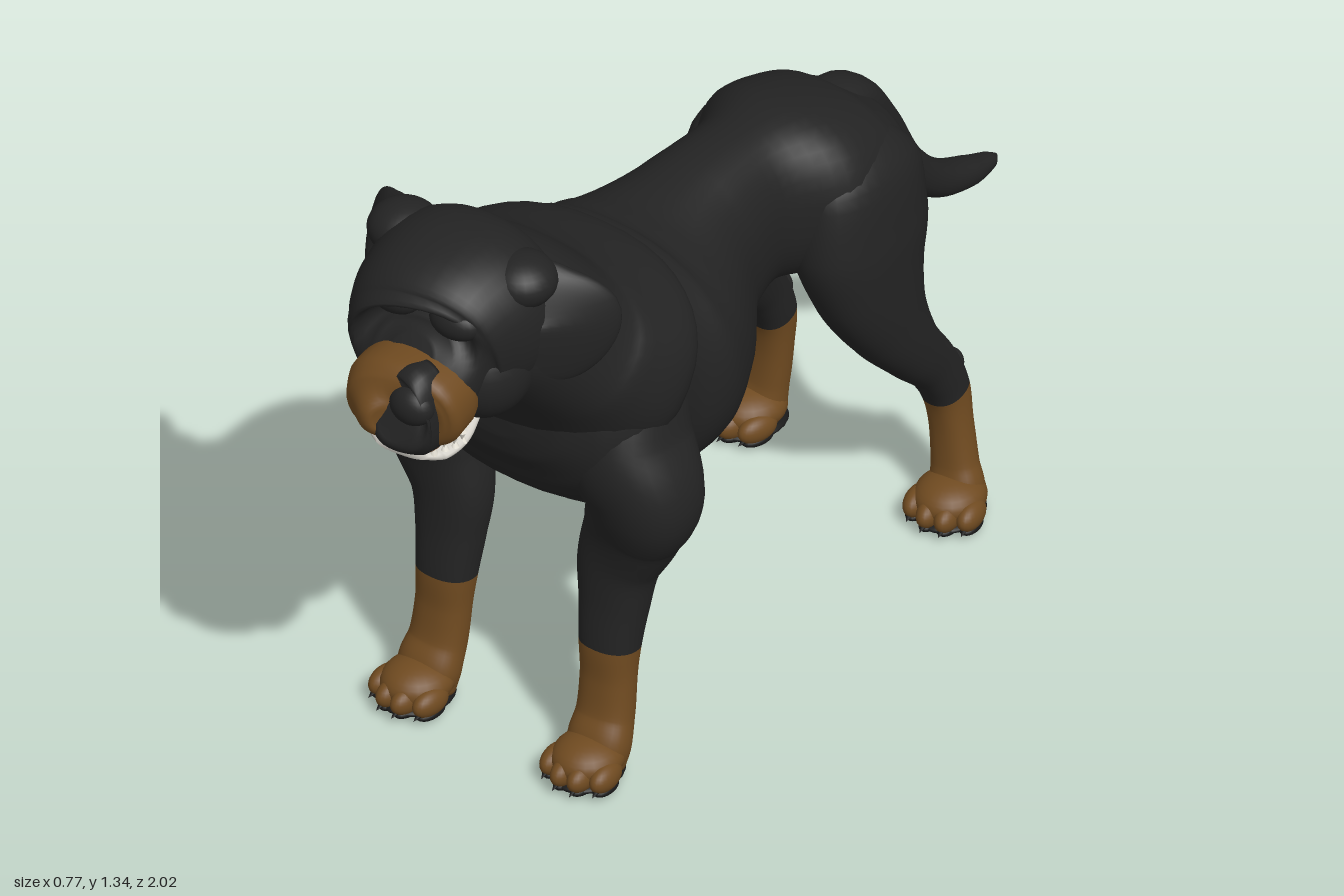
import * as THREE from 'three';

const mat = (name, color) => Object.assign(new THREE.MeshStandardMaterial({ color }), { name });

// Smooth closed skin over cross-sections [x, y, z, halfWidth, halfDepth].
// With `split`, a second material starts at that section.
function loft(sections, { split = 0, sides = 32, steps = 6 } = {}) {
  const path = new THREE.CatmullRomCurve3(sections.map(s => new THREE.Vector3(s[0], s[1], s[2])));
  const radii = new THREE.CatmullRomCurve3(sections.map(s => new THREE.Vector3(s[3], s[4], 0)));
  const rows = (sections.length - 1) * steps, pos = [], idx = [];
  const round = v => Math.sign(v) * Math.abs(v) ** 0.88;
  for (let i = -1; i <= rows + 1; i++) {
    const u = THREE.MathUtils.clamp(i / rows, 0, 1), open = i < 0 || i > rows ? 0 : 1;
    const c = path.getPoint(u), r = radii.getPoint(u), t = path.getTangent(u);
    const side = new THREE.Vector3(1, 0, 0).addScaledVector(t, -t.x).normalize();
    const up = t.clone().cross(side);
    for (let j = 0; j < sides; j++) {
      const a = j / sides * Math.PI * 2;
      const p = c.clone().addScaledVector(side, round(Math.cos(a)) * Math.max(r.x, 0) * open)
        .addScaledVector(up, round(Math.sin(a)) * Math.max(r.y, 0) * open);
      pos.push(p.x, p.y, p.z);
    }
  }
  for (let i = 0; i < rows + 2; i++) for (let j = 0; j < sides; j++) {
    const a = i * sides + j, b = i * sides + (j + 1) % sides;
    idx.push(a, b, a + sides, b, b + sides, a + sides);
  }
  const g = new THREE.BufferGeometry();
  g.setAttribute('position', new THREE.Float32BufferAttribute(pos, 3));
  g.setIndex(idx);
  g.computeVertexNormals();
  if (split) {
    const cut = (split * steps + 1) * sides * 6;
    g.addGroup(0, cut, 0);
    g.addGroup(cut, idx.length - cut, 1);
  }
  return g;
}

// Sections along z given as [z, centreX, bottom, top, halfWidth]
const alongZ = list => list.map(([z, x, b, t, w]) => [x, (b + t) / 2, z, w, (t - b) / 2]);

export function createModel() {
  const dog = new THREE.Group();
  dog.name = 'dog';
  const black = mat('black coat', 0x232323), tan = mat('tan markings', 0x6f4a20);
  const dark = mat('dark pads', 0x191919), white = mat('teeth', 0xeeeade);
  const jawGrey = mat('pale jaw', 0xcdcac2), tongueCol = mat('tongue', 0x8d5a34);

  const add = (name, geo, material, parent = dog) => {
    const m = new THREE.Mesh(geo, material);
    m.name = name;
    parent.add(m);
    return m;
  };
  const ball = (name, material, p, r, parent = dog) => {
    const m = add(name, new THREE.SphereGeometry(1, 24, 16), material, parent);
    m.position.set(...p);
    m.scale.set(...r);
    return m;
  };

  // Trunk, neck and tail
  add('torso', loft(alongZ([
    [-0.56, 0.03, 0.82, 0.92, 0.06], [-0.53, 0.03, 0.76, 0.98, 0.15], [-0.45, 0.03, 0.71, 1.03, 0.2],
    [-0.32, 0.025, 0.70, 1.07, 0.21], [-0.18, 0.015, 0.70, 1.075, 0.137], [-0.05, 0.01, 0.665, 1.07, 0.158],
    [0.1, 0.01, 0.585, 1.06, 0.255], [0.2, 0.01, 0.535, 1.075, 0.295], [0.3, 0.01, 0.52, 1.1, 0.285],
    [0.42, 0.01, 0.545, 1.11, 0.305], [0.51, 0.01, 0.605, 1.05, 0.29], [0.57, 0.01, 0.675, 0.985, 0.24],
    [0.605, 0.01, 0.74, 0.92, 0.16], [0.617, 0.01, 0.79, 0.87, 0.07],
  ]), { sides: 40 }), black);
  add('neck', loft([
    [0.01, 0.83, 0.27, 0.22, 0.2], [0.01, 0.91, 0.4, 0.322, 0.235], [0.02, 1.015, 0.53, 0.285, 0.18],
    [0.03, 1.105, 0.62, 0.215, 0.168], [0.01, 1.16, 0.7, 0.17, 0.16],
  ], { sides: 40 }), black);
  add('tail', loft([
    [0.03, 0.98, -0.42, 0.06, 0.045], [0.03, 0.955, -0.52, 0.064, 0.052], [0.03, 0.85, -0.6, 0.057, 0.054],
    [0.033, 0.7, -0.69, 0.052, 0.047], [0.035, 0.6, -0.8, 0.046, 0.038], [0.035, 0.554, -0.91, 0.036, 0.028],
    [0.035, 0.54, -0.98, 0.02, 0.015], [0.035, 0.538, -1.0, 0.006, 0.006],
  ], { sides: 20 }), black);
  ball('bellySheath', black, [0.01, 0.675, -0.115], [0.033, 0.035, 0.045]);

  // Head, muzzle and nose
  add('head', loft(alongZ([
    [0.52, 0.01, 1.09, 1.22, 0.1], [0.6, 0.01, 1.0, 1.305, 0.17], [0.7, 0.01, 0.975, 1.345, 0.205],
    [0.78, 0.012, 0.965, 1.33, 0.19], [0.84, 0.02, 0.97, 1.285, 0.165], [0.87, 0.028, 0.99, 1.25, 0.135],
    [0.89, 0.03, 1.04, 1.22, 0.095], [0.903, 0.03, 1.09, 1.19, 0.05],
  ]), { sides: 40 }), black);
  add('muzzle', loft(alongZ([
    [0.8, 0.03, 0.98, 1.15, 0.1], [0.865, 0.033, 0.962, 1.16, 0.128], [0.92, 0.036, 0.95, 1.158, 0.13],
    [0.955, 0.04, 0.96, 1.135, 0.112], [0.972, 0.045, 0.99, 1.1, 0.075], [0.977, 0.05, 1.02, 1.07, 0.04],
  ])), tan);
  add('muzzleFront', loft(alongZ([
    [0.88, 0.085, 0.97, 1.162, 0.045], [0.92, 0.075, 0.947, 1.163, 0.06], [0.955, 0.062, 0.952, 1.139, 0.072],
    [0.977, 0.062, 0.975, 1.115, 0.062], [0.986, 0.065, 1.01, 1.085, 0.035],
  ])), black);
  ball('nose', black, [0.082, 1.085, 0.962], [0.05, 0.043, 0.037]);
  for (const s of [-1, 1]) {
    ball('brow', black, [0.02 + s * 0.075, 1.225, 0.835], [0.06, 0.04, 0.042]);
    ball('cheek', black, [0.015 + s * 0.095, 1.075, 0.75], [0.09, 0.11, 0.11]);
    ball('earBase', black, [s * 0.145, 1.265, 0.69], [0.075, 0.055, 0.075]);
  }

  // Open mouth: lower jaw, tongue and two rows of teeth
  add('lowerJaw', loft(alongZ([
    [0.76, 0.02, 0.95, 0.985, 0.085], [0.83, 0.02, 0.915, 0.955, 0.1], [0.89, 0.02, 0.905, 0.94, 0.09],
    [0.925, 0.025, 0.917, 0.94, 0.055],
  ])), jawGrey);
  ball('tongue', tongueCol, [0.045, 0.946, 0.888], [0.048, 0.02, 0.05]);
  for (let i = 0; i <= 12; i++) {
    const a = Math.PI * i / 12, x = 0.02 + Math.cos(a) * 0.092, z = 0.835 + Math.sin(a) * 0.085;
    const fang = i === 3 || i === 9 ? 0.035 : 0.018;
    add('lowerTooth', new THREE.ConeGeometry(0.009, fang, 8), white).position.set(x, 0.943, z);
    const upper = add('upperTooth', new THREE.ConeGeometry(0.009, fang, 8), white);
    upper.position.set(x + 0.005, 0.956, z + 0.01);
    upper.rotation.x = Math.PI;
  }

  // Drooping ears, flared outwards at the rear edge
  for (const s of [-1, 1]) {
    const ear = loft([
      [0.12, 1.265, 0.69, 0.03, 0.045], [0.18, 1.24, 0.675, 0.033, 0.072], [0.228, 1.18, 0.657, 0.027, 0.097],
      [0.235, 1.12, 0.67, 0.024, 0.09], [0.228, 1.065, 0.69, 0.02, 0.065], [0.222, 1.037, 0.7, 0.012, 0.03],
    ].map(([x, ...rest]) => [s * x, ...rest]));
    const p = ear.attributes.position;
    for (let i = 0; i < p.count; i++) p.setX(i, p.getX(i) - 0.004 + s * 0.68 * (0.66 - p.getZ(i)));
    ear.computeVertexNormals();
    add('ear', ear, black);
  }

  // Paw with four toes, claws and a dark sole
  const paw = (name, x, z, yaw) => {
    const g = new THREE.Group();
    g.name = name;
    g.position.set(x, 0, z);
    g.rotation.y = yaw;
    dog.add(g);
    ball('instep', tan, [0, 0.052, 0], [0.073, 0.046, 0.08], g);
    ball('sole', dark, [0, 0.016, 0.0], [0.07, 0.016, 0.085], g);
    for (let i = 0; i < 4; i++) {
      const k = i - 1.5, front = Math.abs(k) < 1 ? 0.05 : 0.028;
      ball('toe', tan, [k * 0.039, 0.039, front], [0.025, 0.03, 0.047], g);
      ball('toePad', dark, [k * 0.039, 0.015, front], [0.021, 0.013, 0.038], g);
      const claw = add('claw', new THREE.ConeGeometry(0.008, 0.022, 8), dark, g);
      claw.position.set(k * 0.04, 0.022, front + 0.042);
      claw.rotation.x = 2.0;
    }
  };

  // Legs: dark above, tan from the split section down
  const frontLeg = [
    [0.15, 1.0, 0.36, 0.05, 0.06], [0.19, 0.88, 0.4, 0.11, 0.13], [0.225, 0.76, 0.44, 0.113, 0.135],
    [0.265, 0.655, 0.447, 0.12, 0.112], [0.237, 0.56, 0.442, 0.103, 0.088], [0.207, 0.47, 0.45, 0.088, 0.068],
    [0.203, 0.38, 0.46, 0.075, 0.06], [0.203, 0.28, 0.475, 0.064, 0.054], [0.205, 0.2, 0.483, 0.06, 0.046],
    [0.208, 0.12, 0.497, 0.062, 0.046], [0.211, 0.07, 0.52, 0.068, 0.05], [0.211, 0.02, 0.53, 0.06, 0.045],
  ];
  const hindLeg = [
    [0.09, 0.99, -0.4, 0.05, 0.08], [0.13, 0.9, -0.39, 0.095, 0.16], [0.145, 0.78, -0.383, 0.1, 0.17],
    [0.17, 0.66, -0.39, 0.085, 0.135], [0.19, 0.55, -0.425, 0.07, 0.095], [0.205, 0.45, -0.485, 0.057, 0.068],
    [0.212, 0.36, -0.56, 0.046, 0.055], [0.215, 0.28, -0.602, 0.045, 0.05], [0.223, 0.2, -0.61, 0.045, 0.041],
    [0.235, 0.11, -0.607, 0.05, 0.04], [0.245, 0.06, -0.6, 0.058, 0.046], [0.247, 0.02, -0.595, 0.053, 0.042],
  ];
  for (const s of [-1, 1]) {
    const place = ([x, y, z, w, d], shift) =>
      [s * x + shift * THREE.MathUtils.clamp((y - 0.3) / 0.5, 0, 1), y, z, w, d];
    add('frontLeg', loft(frontLeg.map(p => place(p, 0)), { split: 7 }), [black, tan]);
    add('hindLeg', loft(hindLeg.map(p => place(p, 0.025)), { split: 7 }), [black, tan]);
    ball('wristPad', tan, [s * 0.21, 0.16, 0.45], [0.02, 0.025, 0.014]);
    ball('hock', black, [s * 0.213, 0.328, -0.62], [0.027, 0.035, 0.03]);
    paw('frontPaw', s * 0.212, 0.558, s * 0.08);
    paw('hindPaw', s * 0.25, -0.572, s * 0.22);
  }
  return dog;
}
